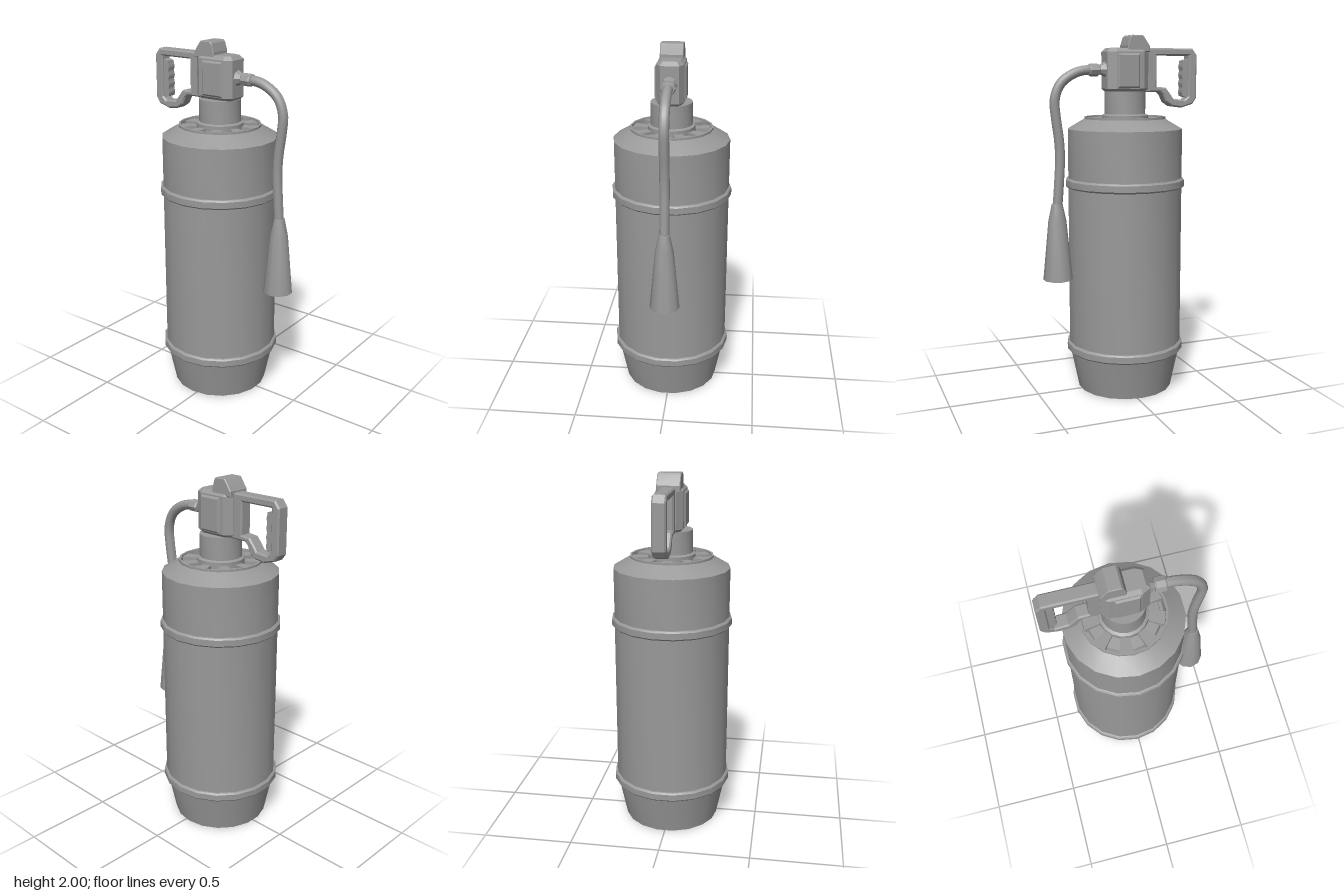
import * as THREE from 'three';
import { toCreasedNormals } from 'three/addons/utils/BufferGeometryUtils.js';

const AXIS_Z = -0.026; // the tank axis sits slightly behind the origin
const material = new THREE.MeshStandardMaterial({ color: 0x999999 });
const v2 = (list) => list.map(([x, y]) => new THREE.Vector2(x, y));

export function createModel() {
  const model = new THREE.Group();

  function add(name, geometry, x = 0, y = 0, z = 0, crease = 0.55) {
    const mesh = new THREE.Mesh(toCreasedNormals(geometry, crease), material);
    mesh.name = name;
    mesh.position.set(x, y, z);
    model.add(mesh);
    return mesh;
  }
  const lathe = (points, sides) => new THREE.LatheGeometry(v2(points), sides, Math.PI / 2);
  // Extrusion whose bevel stays inside the drawn outline and the given depth
  function slab(points, depth, bevel, hole) {
    const shape = new THREE.Shape(v2(points));
    if (hole) shape.holes.push(new THREE.Path(v2(hole)));
    const geometry = new THREE.ExtrudeGeometry(shape, {
      depth: depth - 2 * bevel, bevelEnabled: bevel > 0, bevelThickness: bevel,
      bevelSize: bevel, bevelOffset: -bevel, bevelSegments: 1,
    });
    return geometry.translate(0, 0, bevel - depth / 2);
  }
  // Side outline (distance backwards, height) extruded across x
  const sideSlab = (...args) => slab(...args).rotateY(Math.PI / 2);

  // Tank with hollow base, two raised bands and a recessed top
  const band = (y, r) => [
    [r, y - 0.027], [0.328, y - 0.025], [0.335, y - 0.017],
    [0.335, y + 0.017], [0.328, y + 0.025], [0.321, y + 0.027],
  ];
  add('tank', lathe([
    [0, 0.065], [0.135, 0.065], [0.21, 0], [0.268, 0],
    ...band(0.247, 0.314), ...band(1.19, 0.321),
    [0.321, 1.49], [0.228, 1.545], [0.228, 1.557], [0.217, 1.557],
    [0.21, 1.5], [0.195, 1.5], [0.19, 1.525], [0.1, 1.535],
  ], 18), 0, 0, AXIS_Z, 0.45);

  // Ring of raised vanes in the top recess
  const vanes = 9;
  for (let i = 0; i < vanes; i++) {
    const a = (i * 2 * Math.PI) / vanes, b = a + Math.PI / vanes;
    const at = (r, t) => [r * Math.cos(t), r * Math.sin(t)];
    const wedge = slab([at(0.12, a), at(0.215, a), at(0.215, b), at(0.12, b)], 0.035, 0);
    add('topVane', wedge.rotateX(-Math.PI / 2), 0, 1.53, AXIS_Z);
  }

  // Neck and its flange
  add('neck', lathe([
    [0.13, 1.52], [0.13, 1.565], [0.115, 1.572], [0.115, 1.695], [0, 1.695],
  ], 18), 0, 0, AXIS_Z);

  // Valve head: plan outline with a tapered front
  const headPlan = [
    [-0.074, 0.112], [-0.074, -0.05], [-0.05, -0.094],
    [0.05, -0.094], [0.074, -0.05], [0.074, 0.112], [0.04, 0.15], [-0.04, 0.15],
  ].reverse();
  add('valveHead', slab(headPlan, 0.24, 0.02).rotateX(-Math.PI / 2), 0, 1.81, 0, 0.3);

  // Bevelled panel on each side of the head
  const panel = [[-0.053, 1.705], [0.095, 1.705], [0.095, 1.91], [-0.053, 1.91]];
  for (const side of [-1, 1]) {
    add('sidePanel', sideSlab(panel, 0.04, 0.018), side * 0.064, 0, 0, 0.3);
  }

  // Cap on top of the head
  add('cap', sideSlab([
    [0.022, 1.91], [0.152, 1.91], [0.152, 1.94], [0.118, 1.99],
    [0.108, 2], [0.047, 2], [0.036, 1.99], [0.022, 1.945],
  ], 0.126, 0.004), 0, 0, 0, 0.3);

  // Closed carrying handle with a kinked lower bar
  add('handle', sideSlab([
    [0.11, 1.69], [0.225, 1.69], [0.243, 1.675], [0.262, 1.635], [0.3, 1.61], [0.36, 1.602],
    [0.428, 1.622], [0.452, 1.655], [0.452, 1.895], [0.424, 1.932], [0.11, 1.932],
  ], 0.074, 0.008, [
    [0.205, 1.892], [0.402, 1.892], [0.402, 1.665], [0.38, 1.645],
    [0.31, 1.652], [0.285, 1.685], [0.26, 1.715], [0.205, 1.72],
  ]), 0, 0, 0, 0.3);

  // Rippled finger grip lining the rear bar
  const grip = [[0.41, 1.655], [0.41, 1.875], [0.37, 1.865]];
  for (let i = 0; i <= 16; i++) {
    grip.push([0.366 + 0.003 * Math.cos((i * Math.PI) / 2), 1.855 - i * 0.0118]);
  }
  add('fingerGrip', sideSlab(grip.reverse(), 0.05, 0), 0, 0, 0, 0.9);

  // Hose outlet: cone and faceted collar
  const cone = new THREE.CylinderGeometry(0.022, 0.05, 0.05, 8).rotateX(Math.PI / 2);
  add('hoseOutlet', cone, 0, 1.815, 0.105, 0.3);
  const collar = lathe([[0, -0.03], [0.036, -0.03], [0.043, -0.022],
    [0.043, 0.022], [0.036, 0.03], [0, 0.03]], 8);
  add('hoseCollar', collar.scale(1, 1, 0.8).rotateX(Math.PI / 2), 0, 1.812, 0.157, 0.3);

  // Hose, bending over and hanging down in front
  const path = new THREE.CatmullRomCurve3([
    [0.165, 1.812], [0.21, 1.81], [0.27, 1.793], [0.345, 1.74], [0.38, 1.655], [0.375, 1.56],
    [0.359, 1.44], [0.354, 1.34], [0.363, 1.18], [0.372, 1.07],
  ].map(([z, y]) => new THREE.Vector3(0, y, z)));
  add('hose', new THREE.TubeGeometry(path, 32, 0.027, 10), 0, 0, 0, 0.9);

  // Flared nozzle
  add('nozzle', lathe([
    [0, 0.658], [0.082, 0.658], [0.05, 0.99], [0.03, 1.085], [0, 1.09],
  ], 10), 0, 0, 0.374, 0.7);

  return model;
}
